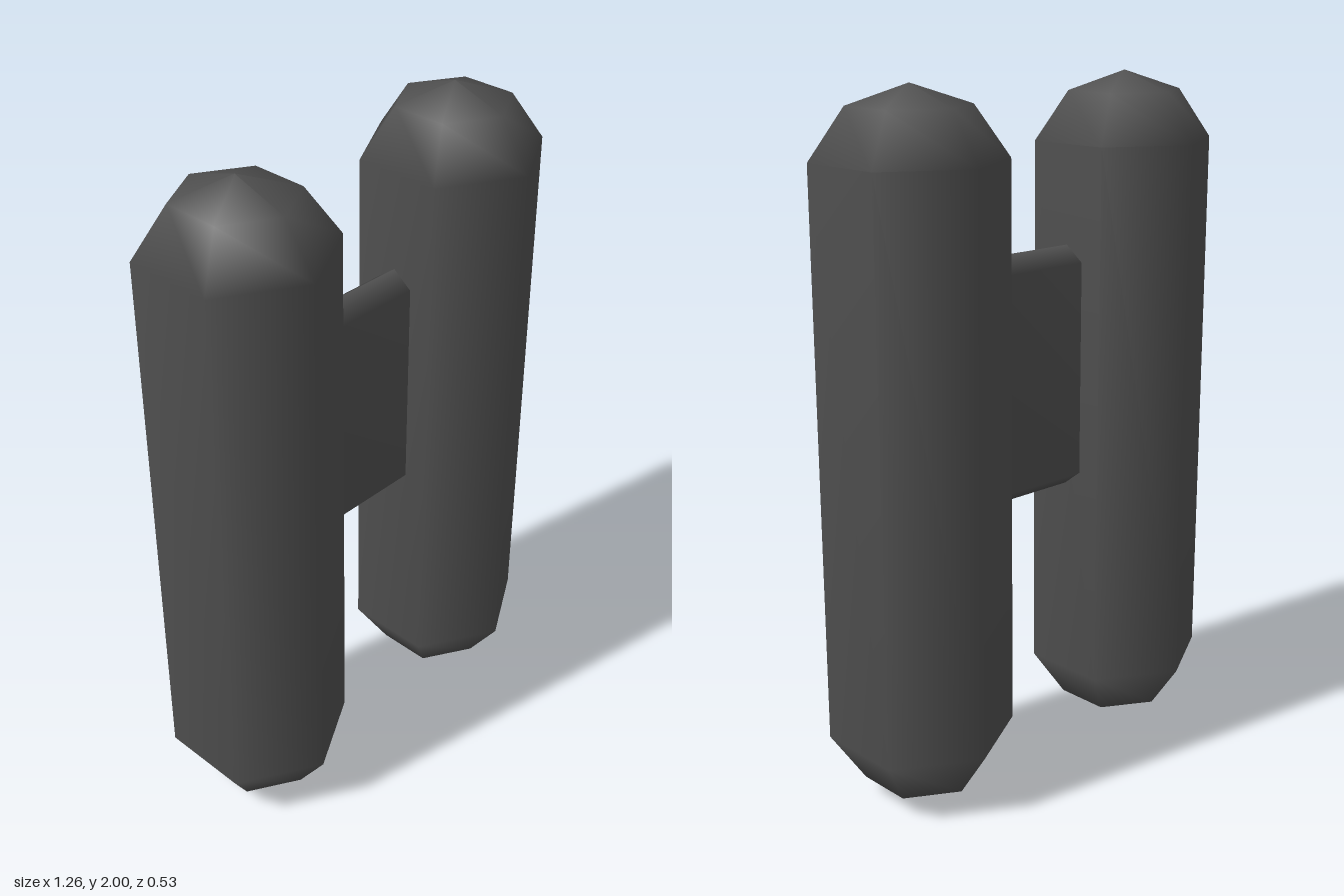
import * as THREE from 'three';
import { mergeVertices } from 'three/addons/utils/BufferGeometryUtils.js';

export function createModel() {
  const model = new THREE.Group();
  model.name = 'linkedCapsules';

  const darkGrey = new THREE.MeshStandardMaterial({ color: 0x505050 });
  darkGrey.name = 'darkGrey';

  // Two upright six-sided capsules with smooth shading
  const profile = [[0, 0], [0.167, 0.055], [0.265, 0.195], [0.265, 1.805], [0.167, 1.945], [0, 2]]
    .map(([r, y]) => new THREE.Vector2(r, y));
  const capsuleGeometry = new THREE.LatheGeometry(profile, 6);
  for (const side of [-1, 1]) {
    const capsule = new THREE.Mesh(capsuleGeometry, darkGrey);
    capsule.name = side > 0 ? 'leftCapsule' : 'rightCapsule';
    capsule.position.x = side * 0.4;
    model.add(capsule);
  }

  // Thin connecting plate: a tall hexagonal tube along x, ends sunk into the capsules
  let plateGeometry = new THREE.CylinderGeometry(1, 1, 0.5, 6, 1, true, Math.PI / 2);
  plateGeometry.rotateZ(Math.PI / 2);
  const p = plateGeometry.attributes.position;
  for (let i = 0; i < p.count; i++) {
    const ridge = Math.abs(p.getY(i)) > 0.9;
    const x = Math.sign(p.getX(i)) * 0.25;
    const y = Math.sign(p.getY(i)) * (ridge ? 0.36 : 0.315);
    const z = ridge ? 0 : Math.sign(p.getZ(i)) * 0.06;
    p.setXYZ(i, x, y, z);
  }
  plateGeometry.deleteAttribute('normal');
  plateGeometry.deleteAttribute('uv');
  plateGeometry = mergeVertices(plateGeometry);
  plateGeometry.computeVertexNormals();
  const plate = new THREE.Mesh(plateGeometry, darkGrey);
  plate.name = 'connectingPlate';
  plate.position.y = 1.16;
  model.add(plate);

  return model;
}
